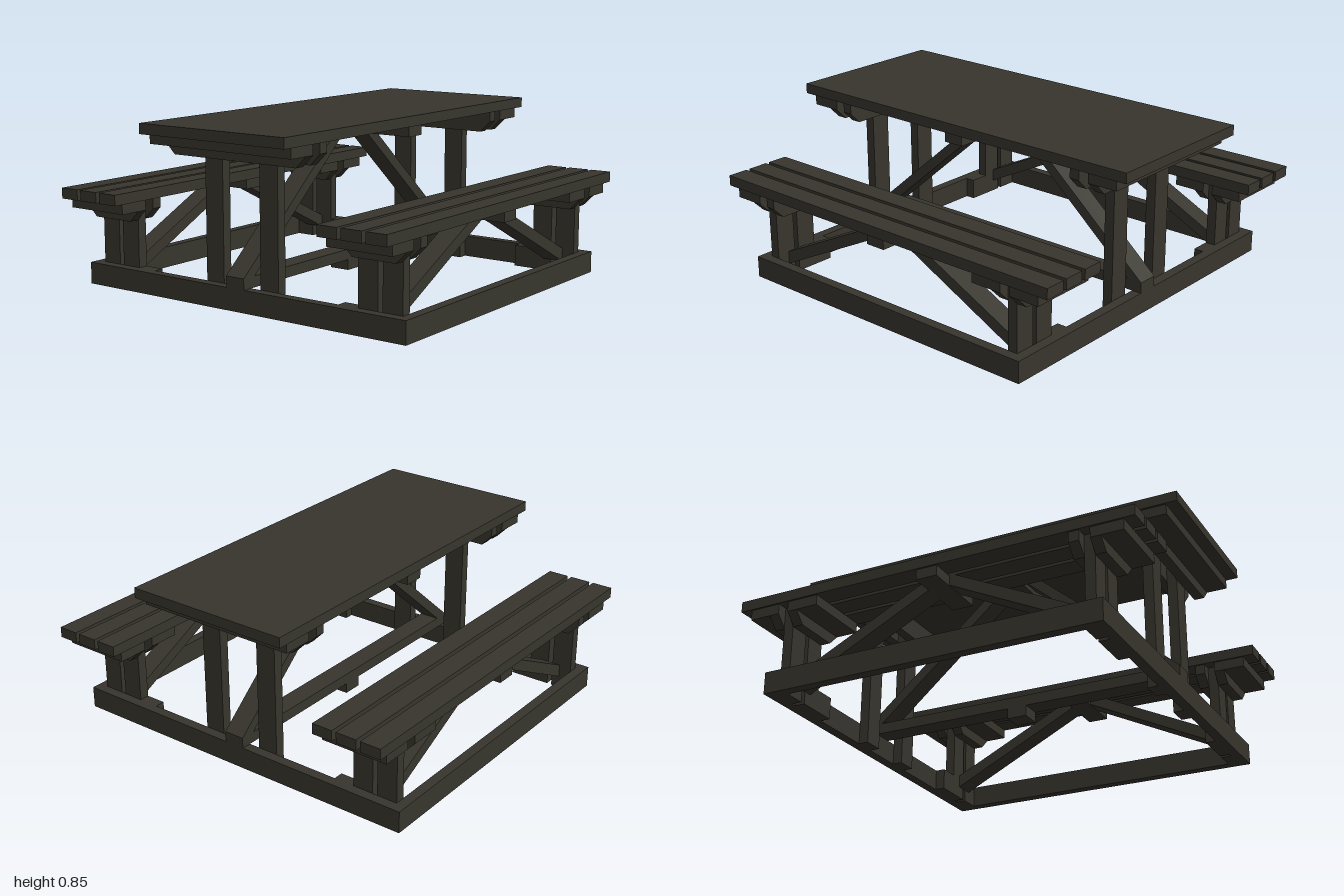
import * as THREE from 'three';

export function createModel() {
  const model = new THREE.Group();
  model.name = 'picnicTable';
  const wood = new THREE.MeshStandardMaterial({ color: 0x37352d });
  wood.name = 'dark wood';

  function add(name, geometry) {
    const mesh = new THREE.Mesh(geometry, wood);
    mesh.name = name;
    model.add(mesh);
    return mesh;
  }

  // Timber given by its limits on each axis
  function timber(name, x0, x1, y0, y1, z0, z1) {
    const g = new THREE.BoxGeometry(Math.abs(x1 - x0), y1 - y0, Math.abs(z1 - z0));
    g.translate((x0 + x1) / 2, (y0 + y1) / 2, (z0 + z1) / 2);
    return add(name, g);
  }

  // Outline in the x-y plane, extruded evenly about z = 0
  function prism(points, depth) {
    const shape = new THREE.Shape(points.map(p => new THREE.Vector2(p[0], p[1])));
    const g = new THREE.ExtrudeGeometry(shape, { depth, bevelEnabled: false });
    return g.translate(0, 0, -depth / 2);
  }

  // Bracket across the width with its lower corners cut off
  function bracket(name, x, top, zMid, half) {
    const g = prism([
      [-half, top], [-half, top - 0.05], [-half + 0.055, top - 0.105],
      [half - 0.055, top - 0.105], [half, top - 0.05], [half, top],
    ], 0.05);
    g.rotateY(Math.PI / 2).translate(x, 0, zMid);
    add(name, g);
  }

  // Diagonal brace on one side
  function brace(name, side, points, z) {
    const g = prism(points.map(p => [p[0] * side, p[1]]), 0.105);
    add(name, g.translate(0, 0, z));
  }

  // Base frame
  for (const s of [-1, 1]) {
    timber('sideRail', s * 0.79, s * 0.84, 0, 0.107, -0.93, 0.93);
    timber('endRail', -0.79, 0.79, 0, 0.107, s * 0.88, s * 0.93);
  }
  timber('centreStretcher', -0.84, 0.84, 0.107, 0.16, -0.052, 0.052);
  timber('stretcherBlock', -0.05, 0.05, 0.055, 0.107, -0.052, 0.052);

  // Table top with its centre cleat
  timber('tableTop', -1, 1, 0.795, 0.845, -0.42, 0.42);
  timber('tableCentreCleat', -0.052, 0.052, 0.745, 0.795, -0.41, 0.41);

  // Table legs, brackets, cleats and braces
  for (const s of [-1, 1]) {
    for (const z of [-0.16, 0.16])
      timber('tableLeg', s * 0.74, s * 0.79, 0, 0.795, z - 0.052, z + 0.052);
    for (const x of [0.715, 0.815])
      bracket('tableBracket', s * x, 0.795, 0, 0.41);
    timber('tableCleat', s * 0.84, s * 0.943, 0.745, 0.795, -0.41, 0.41);
    brace('tableBrace', s,
      [[0.84, 0.16], [0.10, 0.795], [0.05, 0.795], [0.05, 0.772], [0.763, 0.16]], 0);
  }

  // Benches
  for (const f of [-1, 1]) {
    const mid = f * 0.765;
    for (const o of [-0.125, 0, 0.125])
      timber('benchSlat', -1, 1, 0.445, 0.497, mid + o - 0.052, mid + o + 0.052);
    const cleat = (x0, x1) =>
      timber('benchCleat', x0, x1, 0.395, 0.445, mid - 0.168, mid + 0.168);
    cleat(-0.052, 0.052);
    cleat(0.58, 0.69);
    for (const s of [-1, 1]) {
      cleat(s * 0.84, s * 0.945);
      for (const o of [-0.064, 0.064])
        timber('benchLeg', s * 0.74, s * 0.79, 0, 0.445, mid + o - 0.052, mid + o + 0.052);
      for (const x of [0.715, 0.815])
        bracket('benchBracket', s * x, 0.445, mid, 0.168);
      timber('footBlock', s * 0.74, s * 0.79, 0, 0.107, f * 0.545, f * 0.65);
      brace('benchBrace', s,
        [[0.74, 0.125], [0.08, 0.445], [0.05, 0.445], [0.05, 0.40], [0.74, 0.06]], mid);
    }
  }

  return model;
}
